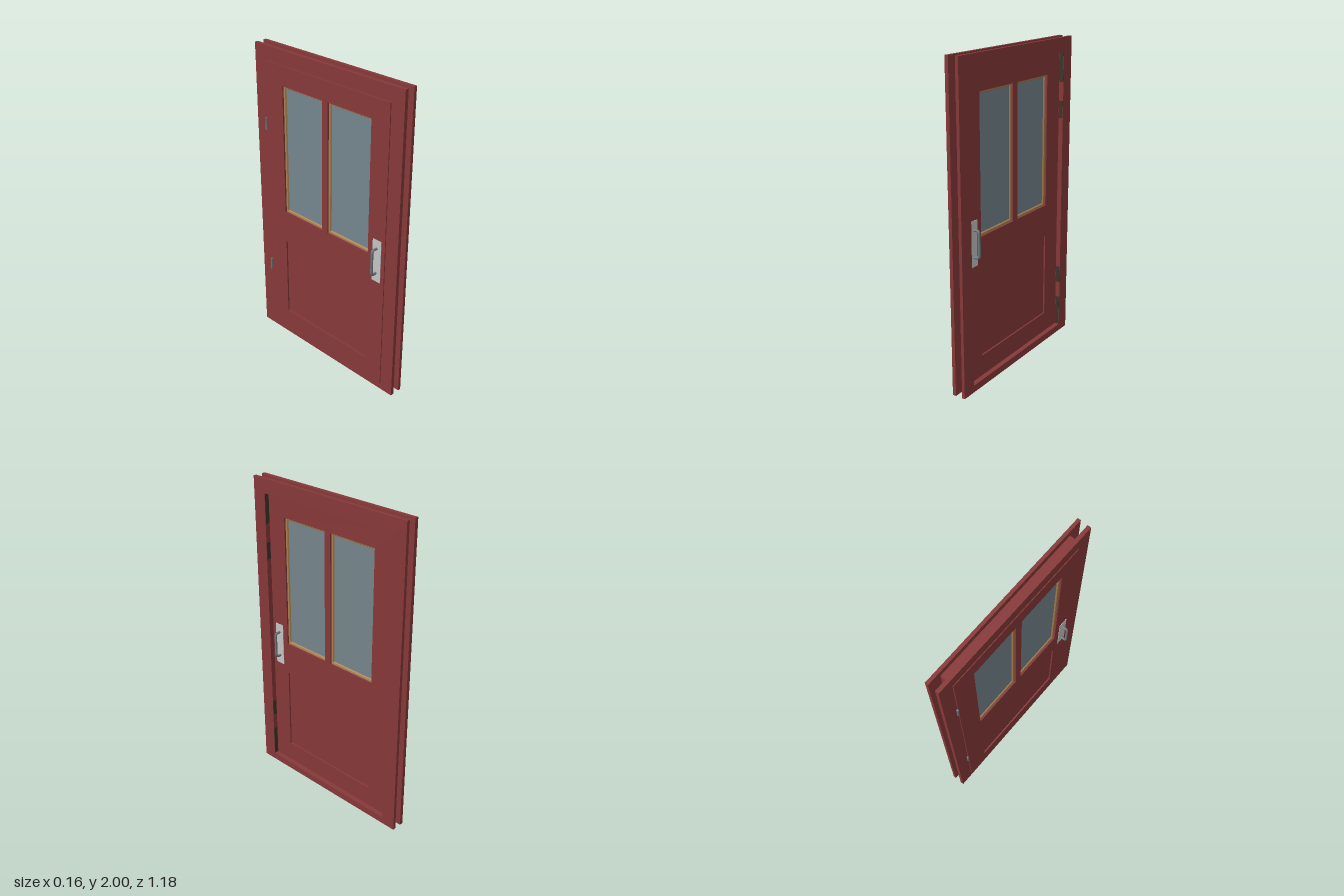
import * as THREE from 'three';

const mat = (name, color, extra = {}) => new THREE.MeshStandardMaterial({ name, color, ...extra });

export function createModel() {
  const red = mat('red paint', 0x873839);
  const tan = mat('tan wood', 0xa88050, { side: THREE.DoubleSide });
  const glass = mat('grey blue glass', 0x75858d);
  const plate = mat('pale metal', 0xc4c4c4);
  const steel = mat('steel', 0x6c777d);
  const dark = mat('dark seal', 0x3b342a);

  const root = new THREE.Group();
  root.name = 'door';

  const add = (name, geometry, material, parent = root) => {
    const mesh = new THREE.Mesh(geometry, material);
    mesh.name = name;
    parent.add(mesh);
    return mesh;
  };

  // Box given by its limits
  const box = (name, material, x0, x1, y0, y1, z0, z1) => {
    const mesh = add(name, new THREE.BoxGeometry(x1 - x0, y1 - y0, z1 - z0), material);
    mesh.position.set((x0 + x1) / 2, (y0 + y1) / 2, (z0 + z1) / 2);
    return mesh;
  };

  // Upright slab with rectangular openings; rectangles are [z0, z1, y0, y1]
  const trace = (path, [z0, z1, y0, y1]) => {
    path.moveTo(-z1, y0);
    path.lineTo(-z0, y0);
    path.lineTo(-z0, y1);
    path.lineTo(-z1, y1);
    path.closePath();
    return path;
  };
  const slab = (name, x0, x1, outer, holes) => {
    const shape = trace(new THREE.Shape(), outer);
    shape.holes = holes.map((h) => trace(new THREE.Path(), h));
    const geometry = new THREE.ExtrudeGeometry(shape, { depth: x1 - x0, bevelEnabled: false });
    geometry.rotateY(Math.PI / 2).translate(x0, 0, 0);
    return add(name, geometry, red);
  };

  // Architraves on both faces of the wall
  const opening = [-0.497, 0.497, 0.045, 1.91];
  const outline = [-0.588, 0.588, 0, 2];
  slab('backArchitrave', -0.028, -0.005, outline, [opening]);
  slab('frontArchitrave', 0.04, 0.06, outline, [opening]);

  // Jamb between the architraves
  box('jambHead', red, -0.005, 0.04, 1.91, 1.955, -0.504, 0.504);
  box('threshold', red, -0.005, 0.04, 0.02, 0.045, -0.497, 0.497);
  for (const s of [-1, 1]) {
    const z = [s * 0.497, s * 0.504].sort((a, b) => a - b);
    box('jambSide', red, -0.005, 0.04, 0, 1.91, z[0], z[1]);
    // Dark strips inside the rebate
    const d = [s * 0.4955, s * 0.4975].sort((a, b) => a - b);
    for (const [y0, y1] of [[0.047, 0.25], [0.36, 0.47], [1.49, 1.6], [1.72, 1.908]]) {
      box('rebateStrip', dark, 0.0305, 0.058, y0, y1, d[0], d[1]);
    }
  }

  // Door leaf with two windows and a sunken lower panel
  const leaf0 = -0.032, leaf1 = 0.03;
  const windows = [[0.03, 0.364, 0.942, 1.783], [-0.35, -0.016, 0.942, 1.783]];
  const panel = [-0.35, 0.364, 0.18, 0.73];
  slab('leaf', leaf0, leaf1, [-0.495, 0.495, 0.047, 1.908], [...windows, panel]);
  box('lowerPanel', red, leaf0 + 0.01, leaf1 - 0.01, panel[2], panel[3], panel[0], panel[1]);

  // Glazing bead: nested rectangles swept inward, as [inset, depth] steps
  const profile = [[0, 0.01], [0.011, 0.012], [0.016, 0.02]];
  const bead = (rect, face, dir) => {
    const pos = [], index = [];
    for (const [inset, depth] of profile) {
      const [z0, z1, y0, y1] = [rect[0] + inset, rect[1] - inset, rect[2] + inset, rect[3] - inset];
      for (const [z, y] of [[z0, y0], [z1, y0], [z1, y1], [z0, y1]]) pos.push(face - dir * depth, y, z);
    }
    for (let r = 0; r < profile.length - 1; r++) {
      for (let i = 0; i < 4; i++) {
        const a = r * 4 + i, b = r * 4 + (i + 1) % 4;
        // Winding follows the side of the leaf
        if (dir > 0) index.push(a, a + 4, b, b, a + 4, b + 4);
        else index.push(a, b, a + 4, b, b + 4, a + 4);
      }
    }
    const indexed = new THREE.BufferGeometry();
    indexed.setAttribute('position', new THREE.Float32BufferAttribute(pos, 3));
    indexed.setIndex(index);
    const geometry = indexed.toNonIndexed();
    geometry.computeVertexNormals();
    add('glazingBead', geometry, tan);
  };
  for (const w of windows) {
    box('windowPane', glass, leaf0 + 0.02, leaf1 - 0.02, w[2] + 0.014, w[3] - 0.014, w[0] + 0.014, w[1] - 0.014);
    bead(w, leaf1, 1);
    bead(w, leaf0, -1);
  }

  // Back plate and pull handle on each face
  for (const [face, dir, reach] of [[leaf1, 1, 0.038], [leaf0, -1, 0.04]]) {
    const x = [face, face + dir * 0.003].sort((a, b) => a - b);
    box('handlePlate', plate, x[0], x[1], 0.78, 1.06, 0.403, 0.468);
    const v = (d, y) => new THREE.Vector3(face + dir * d, y, 0.434);
    const path = new THREE.CurvePath();
    const c = 0.018, low = 0.838, high = 1.004;
    path.add(new THREE.LineCurve3(v(0, low), v(reach - c, low)));
    path.add(new THREE.QuadraticBezierCurve3(v(reach - c, low), v(reach, low), v(reach, low + c)));
    path.add(new THREE.LineCurve3(v(reach, low + c), v(reach, high - c)));
    path.add(new THREE.QuadraticBezierCurve3(v(reach, high - c), v(reach, high), v(reach - c, high)));
    path.add(new THREE.LineCurve3(v(reach - c, high), v(0, high)));
    add('pullHandle', new THREE.TubeGeometry(path, 60, 0.008, 12, false), steel);
  }

  // Hinge knuckles on the back edge
  for (const y of [0.49, 1.505]) {
    const knuckle = add('hinge', new THREE.CylinderGeometry(0.007, 0.007, 0.08, 12), steel);
    knuckle.position.set(-0.034, y, -0.503);
  }

  return root;
}
